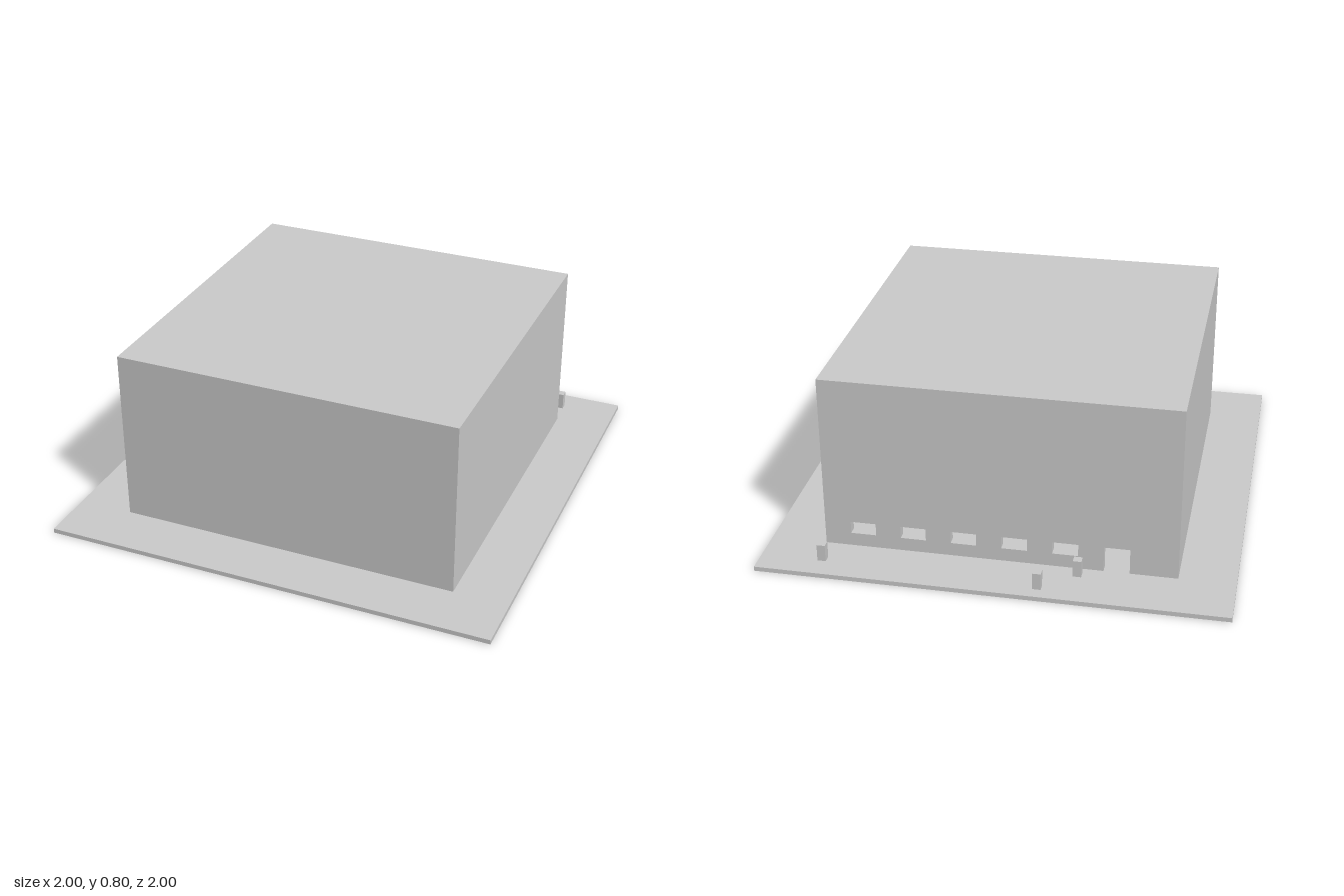
import * as THREE from 'three';

const HALF = 0.758, FLOOR = 0.02, TOP = 0.8, WALL = 0.04;

export function createModel() {
  const group = new THREE.Group();
  const material = new THREE.MeshStandardMaterial({ color: 0xcccccc, flatShading: true });

  const add = (name, geometry, x, y, z) => {
    const mesh = new THREE.Mesh(geometry, material);
    mesh.name = name;
    mesh.position.set(x, y, z);
    group.add(mesh);
  };
  // Box placed by its bottom centre
  const box = (name, w, h, d, x, y, z) =>
    add(name, new THREE.BoxGeometry(w, h, d), x, y + h / 2, z);

  // Ground slab
  box('base', 2, FLOOR, 2, 0, 0, 0);

  // Back wall: a door notch at the bottom edge and a row of five windows
  const doorLeft = -0.555, openingWidth = 0.11, spacing = 0.218;
  const sill = 0.08, head = 0.135;
  const wall = new THREE.Shape([
    [-HALF, FLOOR], [doorLeft, FLOOR], [doorLeft, head],
    [doorLeft + openingWidth, head], [doorLeft + openingWidth, FLOOR],
    [HALF, FLOOR], [HALF, TOP], [-HALF, TOP],
  ].map(([x, y]) => new THREE.Vector2(x, y)));
  for (let i = 1; i <= 5; i++) {
    const x = doorLeft + i * spacing;
    wall.holes.push(new THREE.Path([
      new THREE.Vector2(x, sill), new THREE.Vector2(x, head),
      new THREE.Vector2(x + openingWidth, head), new THREE.Vector2(x + openingWidth, sill),
    ]));
  }
  add('backWall', new THREE.ExtrudeGeometry(wall, { depth: WALL, bevelEnabled: false }), 0, 0, -HALF);

  // Remaining walls around the hollow interior
  const height = TOP - FLOOR;
  box('frontWall', 2 * HALF, height, WALL, 0, FLOOR, HALF - WALL / 2);
  for (const [name, side] of [['leftWall', 1], ['rightWall', -1]]) {
    box(name, WALL, height, 2 * (HALF - WALL), side * (HALF - WALL / 2), FLOOR, 0);
  }

  // Flat roof set flush between the walls
  const inner = 2 * (HALF - WALL);
  box('roof', inner, WALL, inner, 0, TOP - WALL, 0);

  // Small posts standing behind the building
  for (const [x, z] of [[-0.343, -0.805], [-0.195, -0.928], [0.735, -0.885]]) {
    box('post', 0.036, 0.075, 0.036, x, FLOOR, z);
  }
  return group;
}
